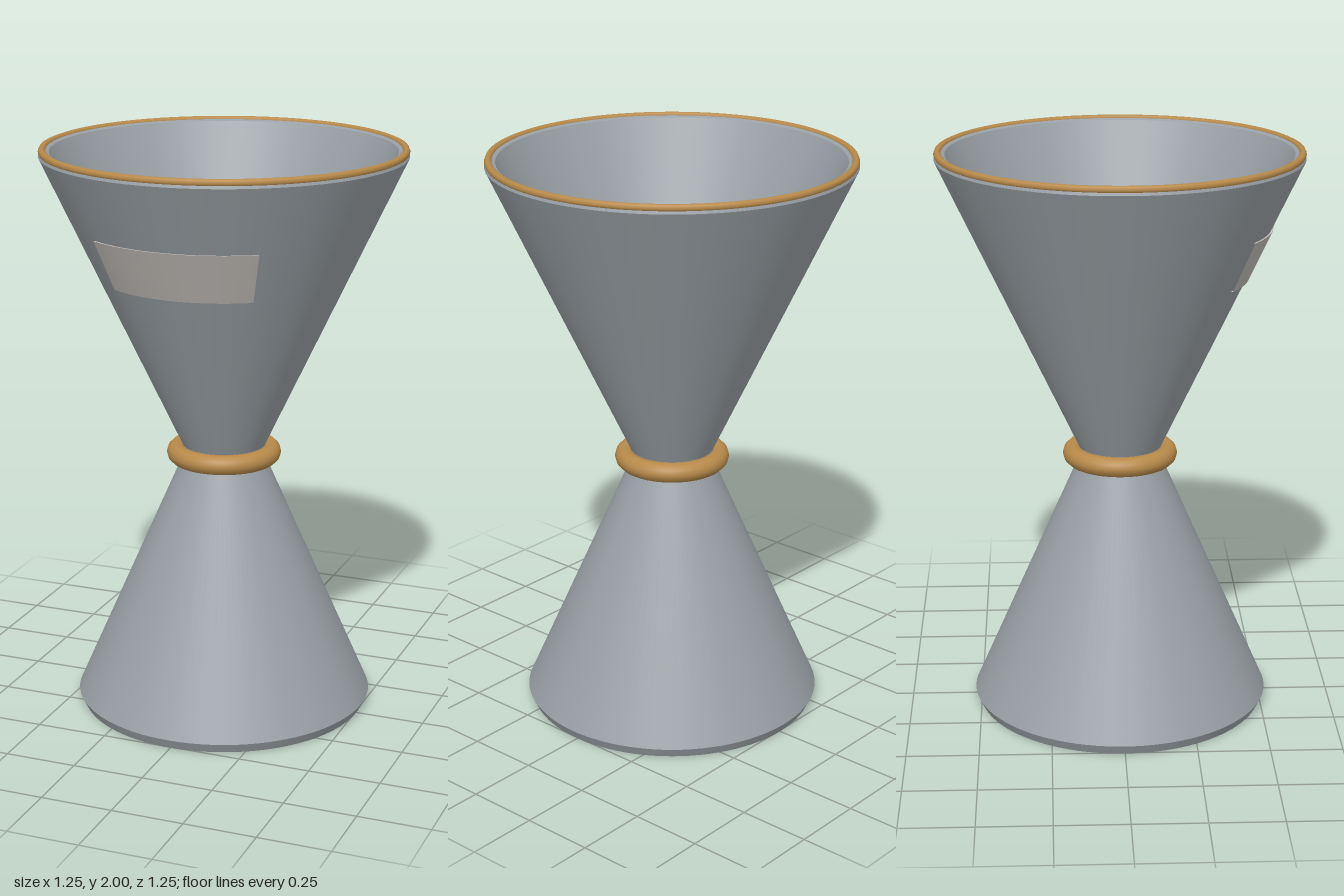
import * as THREE from 'three';
import { mergeGeometries } from 'three/addons/utils/BufferGeometryUtils.js';

const SEGMENTS = 96;

// Revolves a profile with a sharp edge at every point
function creasedLathe(profile, start = 0, sweep = Math.PI * 2, segments = SEGMENTS) {
  const bands = [];
  for (let i = 0; i < profile.length - 1; i++) {
    const pair = [profile[i], profile[i + 1]].map(([r, y]) => new THREE.Vector2(r, y));
    bands.push(new THREE.LatheGeometry(pair, segments, start, sweep));
  }
  return mergeGeometries(bands);
}

export function createModel() {
  const steel = new THREE.MeshStandardMaterial({ color: 0x9aa1a6 });
  steel.name = 'steel';
  const brass = new THREE.MeshStandardMaterial({ color: 0xb88a4a });
  brass.name = 'brass';
  const label = new THREE.MeshStandardMaterial({ color: 0xc0bcb7, side: THREE.DoubleSide });
  label.name = 'pale label';

  const model = new THREE.Group();
  model.name = 'doubleMeasuringCup';
  function add(name, geometry, material, y = 0) {
    const mesh = new THREE.Mesh(geometry, material);
    mesh.name = name;
    mesh.position.y = y;
    model.add(mesh);
    return mesh;
  }

  // Small cup, opening downward, with a chamfered rim
  add('lowerCup', creasedLathe([
    [0, 0.86], [0.125, 0.86], [0.49, 0], [0.505, 0],
    [0.522, 0.035], [0.145, 0.9], [0.145, 0.92],
  ]), steel);

  // Large cup, opening upward, with wall thickness and floor
  add('upperCup', creasedLathe([
    [0.145, 0.92], [0.145, 0.95], [0.625, 1.97], [0.62, 1.985],
    [0.6, 1.99], [0.588, 1.985], [0.118, 0.97], [0, 0.97],
  ]), steel);

  // Brass bands round the waist and the upper lip
  const collar = new THREE.TorusGeometry(0.165, 0.035, 12, SEGMENTS).rotateX(Math.PI / 2);
  add('waistCollar', collar, brass, 0.92);
  const lip = new THREE.TorusGeometry(0.612, 0.013, 8, SEGMENTS).rotateX(Math.PI / 2);
  add('upperRim', lip, brass, 1.987);

  // Thin curved plate on the front of the large cup
  add('frontLabel', creasedLathe([
    [0.43, 1.56], [0.441, 1.56], [0.521, 1.735], [0.51, 1.735],
  ], -0.59, 1.18, 32), label);

  return model;
}
